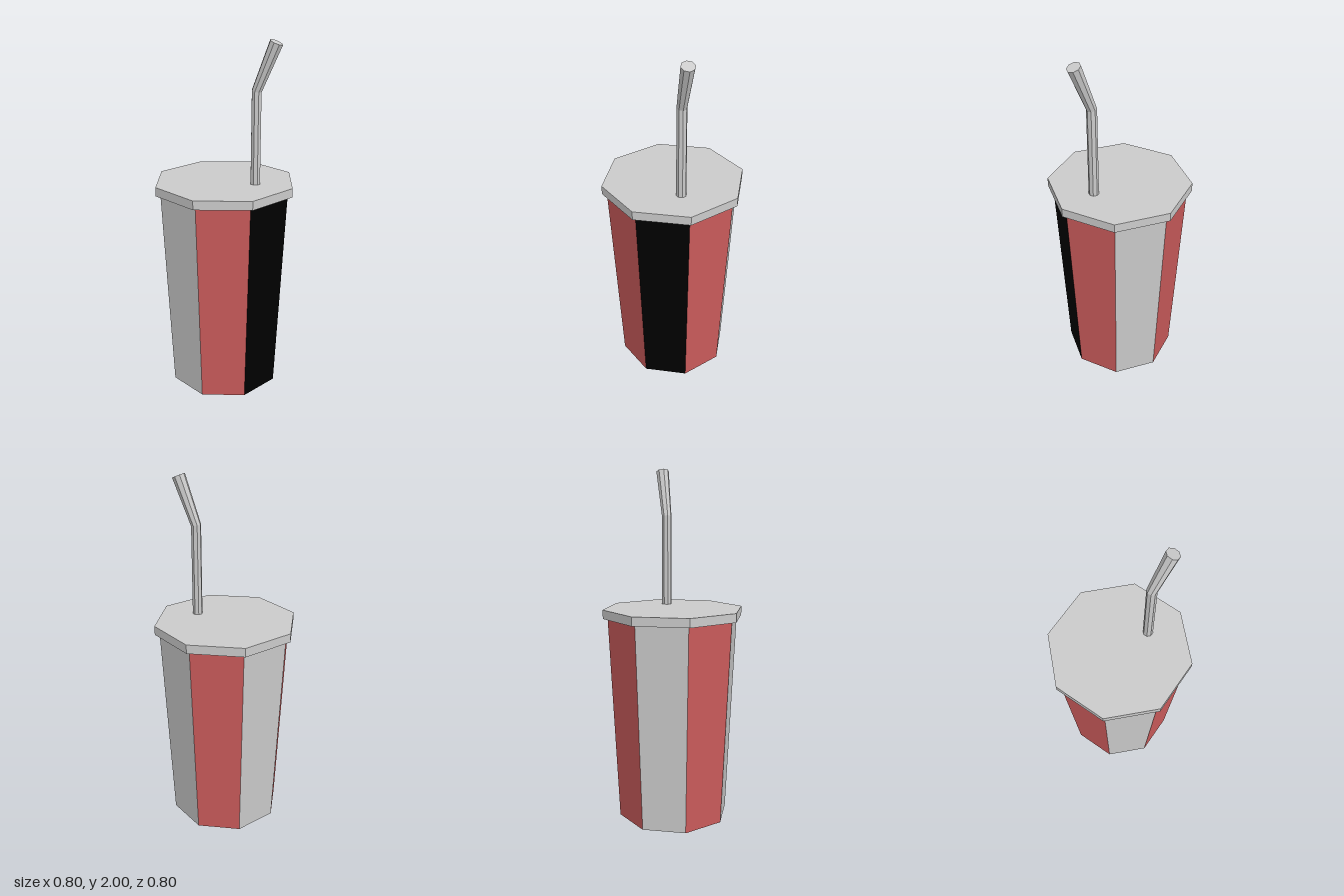
import * as THREE from 'three';

const SIDES = 8;
const STEP = (Math.PI * 2) / SIDES;

const material = (color = 0xcccccc) => new THREE.MeshStandardMaterial({ color, flatShading: true });

// Lofts an eight-sided tube through tilted rings and closes its upper end
function loftTube(rings) {
  const pos = [];
  const point = ({ x, y, z, r, tilt }, i) => {
    const a = (i % SIDES) * STEP;
    return [
      x + r * Math.cos(a) * Math.cos(tilt),
      y - r * Math.cos(a) * Math.sin(tilt),
      z + r * Math.sin(a),
    ];
  };
  for (let i = 0; i < SIDES; i++) {
    for (let k = 0; k < rings.length - 1; k++) {
      const a = point(rings[k], i), b = point(rings[k], i + 1);
      const c = point(rings[k + 1], i), d = point(rings[k + 1], i + 1);
      pos.push(...a, ...c, ...b, ...b, ...c, ...d);
    }
    const top = rings[rings.length - 1];
    pos.push(top.x, top.y, top.z, ...point(top, i + 1), ...point(top, i));
  }
  const geometry = new THREE.BufferGeometry();
  geometry.setAttribute('position', new THREE.Float32BufferAttribute(pos, 3));
  geometry.computeVertexNormals();
  return geometry;
}

export function createModel() {
  const model = new THREE.Group();
  model.name = 'drinkCup';

  const add = (name, geometry, mat, parent = model) => {
    const mesh = new THREE.Mesh(geometry, mat);
    mesh.name = name;
    parent.add(mesh);
    return mesh;
  };

  const grey = material();
  const red = material(0xcc5c5c);
  const black = material(0x000000);

  // Tapered cup wall: red stripes alternate with grey, one grey stripe replaced by black
  const cup = new THREE.Group();
  cup.name = 'cup';
  model.add(cup);
  const height = 1.17;
  for (let k = 0; k < SIDES; k++) {
    const start = Math.PI / 2 - STEP * (k + 1);
    const panel = new THREE.CylinderGeometry(0.375, 0.32, height, 1, 1, true, start, STEP);
    const mat = k === 0 ? black : k % 2 ? red : grey;
    add('cupPanel' + (k + 1), panel, mat, cup).position.y = height / 2;
  }

  // Cup base
  add('cupBase', new THREE.CircleGeometry(0.32, SIDES).rotateX(Math.PI / 2), grey, cup);

  // Lid
  add('lid', new THREE.CylinderGeometry(0.402, 0.402, 0.05, SIDES), grey).position.y = 1.195;

  // Bent straw, widening slightly toward its tip
  add('straw', loftTube([
    { x: 0.185, y: 1.2, z: 0, r: 0.028, tilt: 0 },
    { x: 0.185, y: 1.73, z: 0, r: 0.028, tilt: 0.19 },
    { x: 0.288, y: 1.985, z: -0.003, r: 0.037, tilt: 0.4 },
  ]), grey);

  return model;
}
